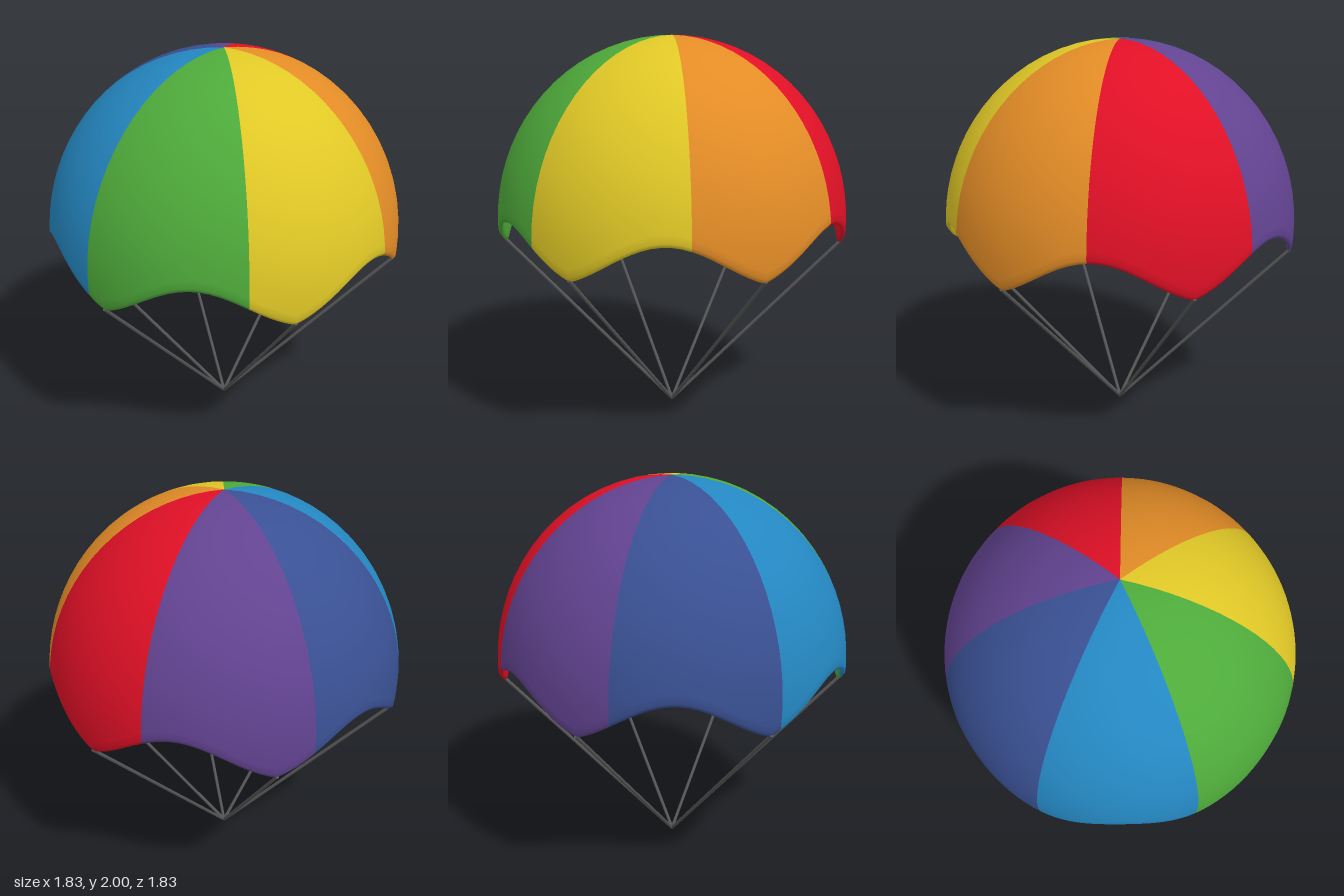
import * as THREE from 'three';

const CENTER_Y = 1.05, RADIUS = 0.915, HEIGHT = 0.95, THICK = 0.025;
const COLS = 126, GORES = 7, SCALLOPS = 6, ROWS = 18;
const START = -Math.PI / 2;                 // first seam, at the back
const FIRST_POINT = THREE.MathUtils.degToRad(50); // one low point of the hem

const material = (name, color) => {
  const m = new THREE.MeshStandardMaterial({ color });
  m.name = name;
  return m;
};

// Height of the scalloped hem at an angle round the canopy
function hemY(angle) {
  const p = (angle - FIRST_POINT) * SCALLOPS / 2;
  return 0.91 + 0.1 * (Math.abs(Math.sin(p)) + Math.sin(p) ** 2);
}

// Point on the dome at a height, pulled in by an inset
function radiusAt(y, inset) {
  const k = (y - CENTER_Y) / (HEIGHT - inset);
  return (RADIUS - inset) * Math.sqrt(Math.max(0, 1 - k * k));
}

// Cross-section: outer skin, rounded hem, inner skin, as [radius, y]
function section(angle) {
  const hem = hemY(angle);
  const skin = (inset) => {
    const h = HEIGHT - inset, pts = [];
    const end = Math.acos((hem + 0.06 - CENTER_Y) / h);
    for (let i = 0; i <= ROWS; i++) {
      const t = end * i / ROWS;
      pts.push([(RADIUS - inset) * Math.sin(t), CENTER_Y + h * Math.cos(t)]);
    }
    pts.push([radiusAt(hem + 0.02, inset), hem + 0.02]);
    return pts;
  };
  return [...skin(0), [radiusAt(hem, THICK / 2), hem], ...skin(THICK).reverse()];
}

// Closed canopy shell with one material group per gore
function canopyGeometry() {
  const positions = [], index = [];
  let rows = 0;
  for (let c = 0; c < COLS; c++) {
    const a = START + c / COLS * Math.PI * 2;
    const pts = section(a);
    rows = pts.length;
    for (const [r, y] of pts) positions.push(r * Math.cos(a), y, r * Math.sin(a));
  }
  // Both poles share a single vertex
  const id = (r, c) => (r === 0 || r === rows - 1) ? r : (c % COLS) * rows + r;
  const geo = new THREE.BufferGeometry();
  const perGore = COLS / GORES;
  for (let g = 0; g < GORES; g++) {
    const start = index.length;
    for (let c = g * perGore; c < (g + 1) * perGore; c++) {
      for (let r = 0; r < rows - 1; r++) {
        const a = id(r, c), b = id(r, c + 1), d = id(r + 1, c), e = id(r + 1, c + 1);
        if (a !== b) index.push(a, b, d);
        if (d !== e) index.push(b, e, d);
      }
    }
    geo.addGroup(start, index.length - start, g);
  }
  geo.setAttribute('position', new THREE.Float32BufferAttribute(positions, 3));
  geo.setIndex(index);
  geo.computeVertexNormals();
  return geo;
}

export function createModel() {
  const model = new THREE.Group();
  model.name = 'parachute';

  const gores = [
    material('red cloth', 0xe01026),
    material('orange cloth', 0xe38c26),
    material('yellow cloth', 0xe0c826),
    material('green cloth', 0x4eaa3a),
    material('blue cloth', 0x2487c1),
    material('navy cloth', 0x395093),
    material('purple cloth', 0x624391),
  ];
  const canopy = new THREE.Mesh(canopyGeometry(), gores);
  canopy.name = 'canopy';
  model.add(canopy);

  // Cords from each low point of the hem to the common knot
  const cordMaterial = material('grey cord', 0x555555);
  const cords = new THREE.Group();
  cords.name = 'cords';
  const knot = new THREE.Vector3(0, 0.005, 0);
  for (let i = 0; i < SCALLOPS; i++) {
    const a = FIRST_POINT + i * Math.PI * 2 / SCALLOPS;
    const top = new THREE.Vector3(0.9 * Math.cos(a), 0.92, 0.9 * Math.sin(a));
    const dir = top.clone().sub(knot);
    const cord = new THREE.Mesh(
      new THREE.CylinderGeometry(0.009, 0.009, dir.length(), 8), cordMaterial);
    cord.position.copy(top).add(knot).multiplyScalar(0.5);
    cord.quaternion.setFromUnitVectors(new THREE.Vector3(0, 1, 0), dir.normalize());
    cord.name = 'cord';
    cords.add(cord);
  }
  model.add(cords);
  return model;
}
